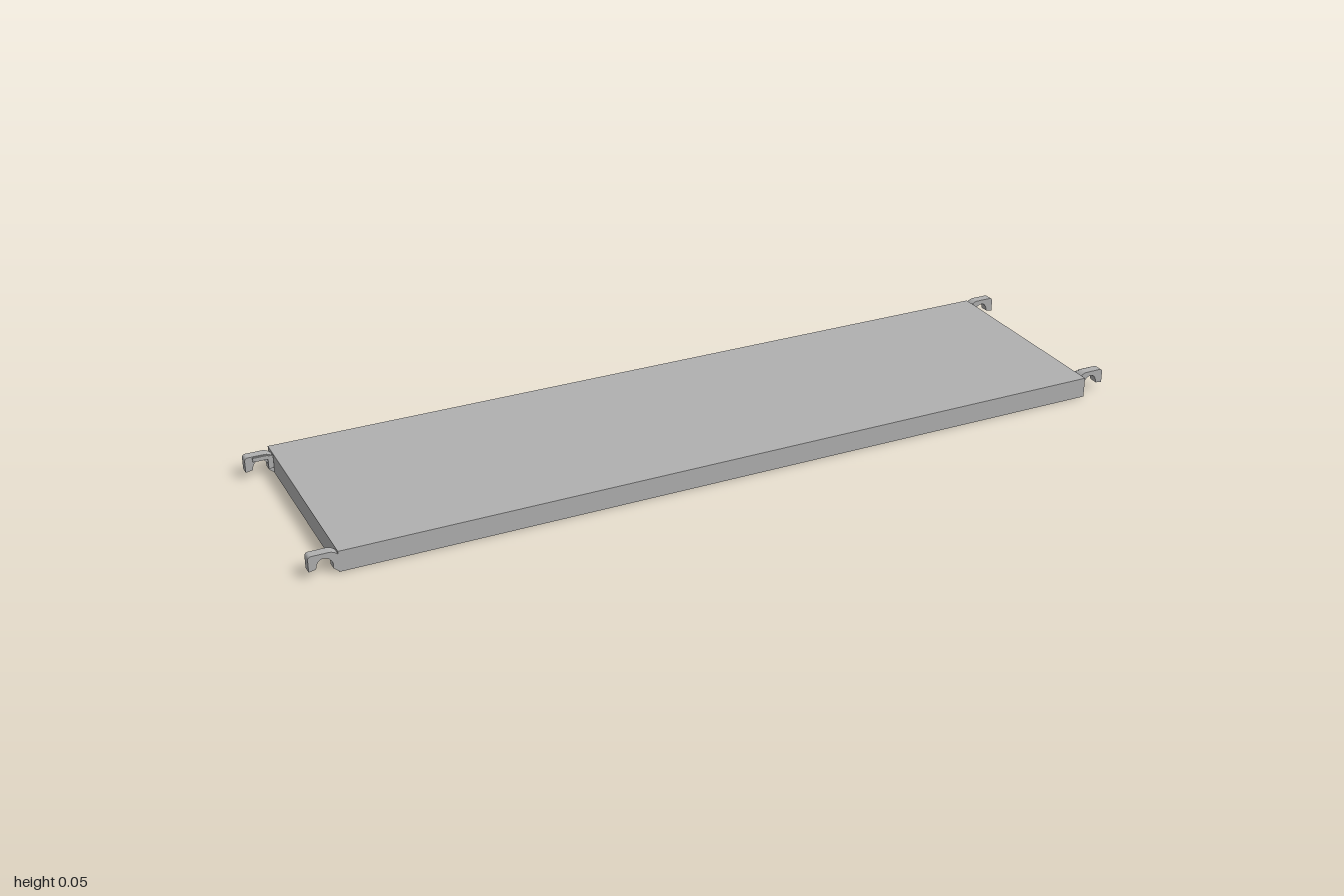
import * as THREE from 'three';

export function createModel() {
  const group = new THREE.Group();
  const steel = new THREE.MeshStandardMaterial({ color: 0xb0b0b0 });
  steel.name = 'galvanised grey';

  const box = (name, size, pos, parent = group) => {
    const mesh = new THREE.Mesh(new THREE.BoxGeometry(...size), steel);
    mesh.position.set(...pos);
    mesh.name = name;
    parent.add(mesh);
  };

  // Deck sheet on a rectangular frame that is open underneath
  box('deckSheet', [1.87, 0.007, 0.522], [0, 0.0455, 0]);
  for (const s of [1, -1]) {
    box('sideRail', [1.87, 0.042, 0.018], [0, 0.021, s * 0.252]);
    box('endRail', [0.018, 0.042, 0.486], [s * 0.926, 0.021, 0]);
  }

  // Claw profile: shank on the end rail, arch over the top, lip hanging outside
  const claw = new THREE.Shape();
  claw.moveTo(0.935, 0.002);
  claw.lineTo(0.947, 0.012);
  claw.lineTo(0.947, 0.024);
  claw.quadraticCurveTo(0.953, 0.041, 0.968, 0.041);
  claw.quadraticCurveTo(0.981, 0.040, 0.984, 0.019);
  claw.lineTo(1.0, 0.016);
  claw.lineTo(1.0, 0.046);
  claw.quadraticCurveTo(0.998, 0.052, 0.992, 0.052);
  claw.lineTo(0.953, 0.052);
  claw.quadraticCurveTo(0.943, 0.051, 0.935, 0.043);
  claw.closePath();
  const clawGeometry = new THREE.ExtrudeGeometry(claw, {
    depth: 0.022, bevelEnabled: false, curveSegments: 5,
  });

  // Each end has one claw at the edge and one set in, so neighbouring planks interlock
  for (const turn of [0, Math.PI]) {
    const end = new THREE.Group();
    end.name = 'endHooks';
    end.rotation.y = turn;
    for (const z of [-0.262, 0.219]) {
      const hook = new THREE.Mesh(clawGeometry, steel);
      hook.name = 'hook';
      hook.position.z = z;
      end.add(hook);
    }
    // Wind latch beside the inset claw
    box('latchPlate', [0.035, 0.01, 0.004], [0.965, 0.045, 0.217], end);
    box('latchArm', [0.012, 0.032, 0.004], [0.942, 0.032, 0.217], end);
    group.add(end);
  }

  return group;
}
